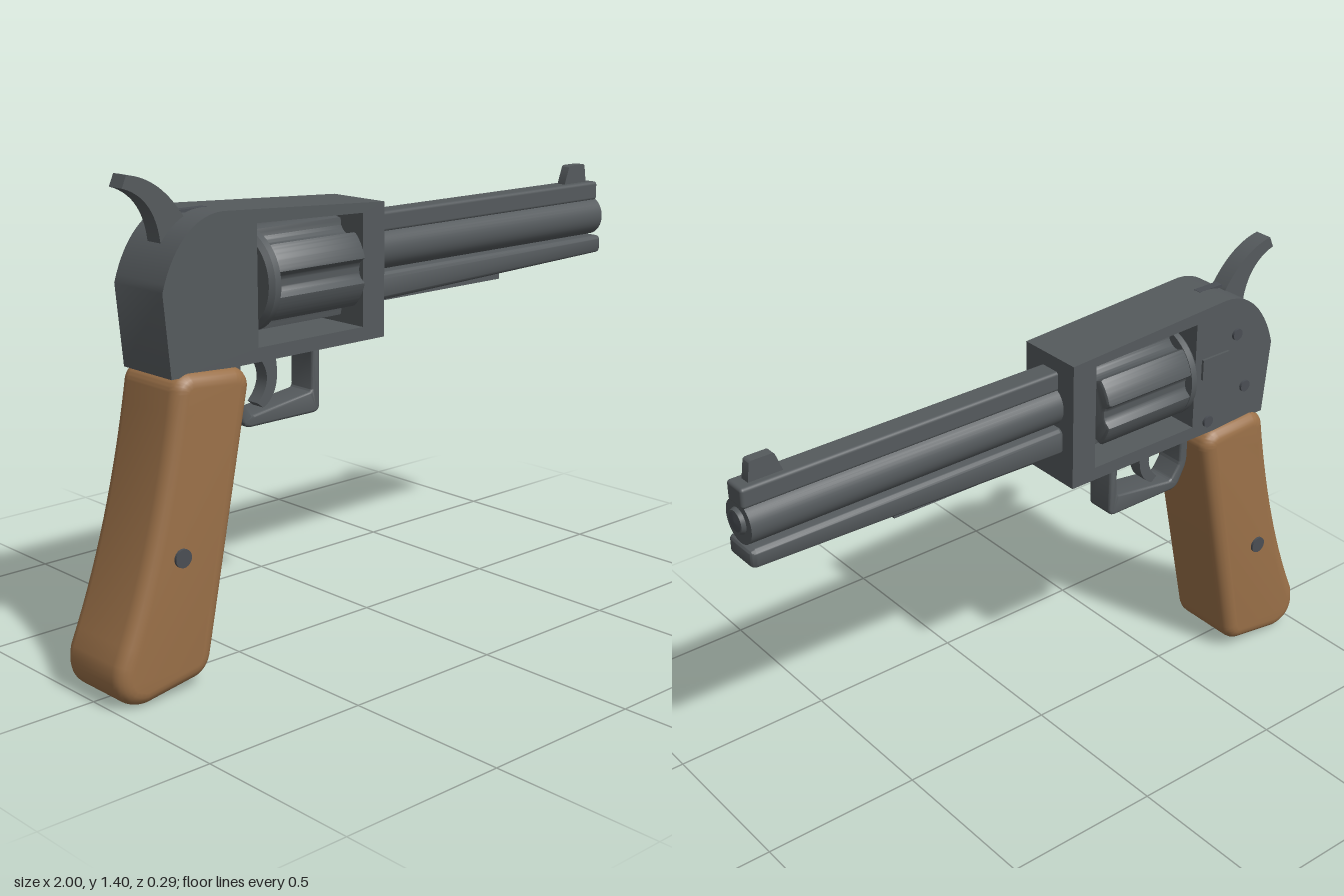
import * as THREE from 'three';
import { toCreasedNormals } from 'three/addons/utils/BufferGeometryUtils.js';
import { RoundedBoxGeometry } from 'three/addons/geometries/RoundedBoxGeometry.js';

const mat = (name, color) => Object.assign(new THREE.MeshStandardMaterial({ color }), { name });

// Polygon path with its corners rounded by radius r
function roundPath(path, pts, r) {
  const n = pts.length, v = pts.map(p => new THREE.Vector2(p[0], p[1]));
  v.forEach((p, i) => {
    const toward = q => p.clone().add(q.clone().sub(p).setLength(r));
    const a = toward(v[(i + n - 1) % n]), b = toward(v[(i + 1) % n]);
    if (i === 0) path.moveTo(a.x, a.y); else path.lineTo(a.x, a.y);
    path.quadraticCurveTo(p.x, p.y, b.x, b.y);
  });
  path.closePath();
  return path;
}

// Side profile extruded to a total width, centred on z = 0
function slab(shape, width, bevel = 0, offset = 0) {
  const g = new THREE.ExtrudeGeometry(shape, {
    depth: width - 2 * bevel, curveSegments: 14, bevelEnabled: bevel > 0,
    bevelSize: bevel, bevelThickness: bevel, bevelOffset: offset, bevelSegments: 5
  });
  g.translate(0, 0, -(width - 2 * bevel) / 2);
  return toCreasedNormals(g, 0.6);
}

export function createModel() {
  const model = new THREE.Group();
  const steel = mat('gunmetal', 0x555a5d);
  const wood = mat('walnut', 0x9a7048);
  const dark = mat('dark steel', 0x4a4e54);
  const add = (name, geo, material, x = 0, y = 0, z = 0) => {
    const m = new THREE.Mesh(geo, material);
    m.name = name;
    m.position.set(x, y, z);
    model.add(m);
    return m;
  };
  const rod = (r1, r2, len) => new THREE.CylinderGeometry(r1, r2, len, 40).rotateZ(-Math.PI / 2);

  // Frame with the cylinder window
  const frame = new THREE.Shape();
  frame.moveTo(-0.79, 0.87);
  frame.lineTo(-0.03, 0.87);
  frame.lineTo(-0.03, 1.26);
  frame.lineTo(-0.61, 1.292);
  frame.bezierCurveTo(-0.71, 1.292, -0.78, 1.21, -0.812, 1.1);
  frame.closePath();
  const win = new THREE.Path();
  win.moveTo(-0.497, 0.91);
  win.lineTo(-0.497, 1.248);
  win.lineTo(-0.113, 1.236);
  win.lineTo(-0.113, 0.91);
  win.closePath();
  frame.holes.push(win);
  add('frame', slab(frame, 0.21), steel);
  add('hammerSlot', new THREE.BoxGeometry(0.09, 0.008, 0.026), dark, -0.635, 1.288, 0);

  // Fluted cylinder
  const R = 0.145, flutes = [];
  for (let i = 0; i < 180; i++) {
    const a = i / 180 * Math.PI * 2;
    const d = Math.abs(((a + Math.PI / 6) % (Math.PI / 3)) - Math.PI / 6) / 0.21;
    const r = d < 1 ? R - 0.008 - 0.02 * Math.sqrt(1 - d * d) : R;
    flutes.push(new THREE.Vector2(Math.cos(a) * r, Math.sin(a) * r));
  }
  const drum = new THREE.ExtrudeGeometry(new THREE.Shape(flutes), {
    depth: 0.3, bevelEnabled: true, bevelSize: 0.01, bevelThickness: 0.01, bevelOffset: -0.01, bevelSegments: 2
  });
  drum.rotateY(Math.PI / 2);
  add('cylinder', toCreasedNormals(drum, 0.5), steel, -0.443, 1.08, 0);
  const rim = new THREE.LatheGeometry([[0, 0], [0.132, 0], [0.145, 0.013], [0.145, 0.033], [0, 0.033]]
    .map(p => new THREE.Vector2(p[0], p[1])), 48).rotateZ(-Math.PI / 2);
  add('cylinderRim', toCreasedNormals(rim, 0.5), steel, -0.481, 1.08, 0);
  add('cylinderPin', rod(0.03, 0.03, 0.4), steel, -0.305, 1.08, 0);

  // Barrel, muzzle crown, top rib and tapering underlug
  add('barrel', rod(0.063, 0.063, 1.015), steel, 0.477, 1.107, 0);
  add('muzzleCrown', rod(0.033, 0.038, 0.012), steel, 0.99, 1.11, 0);
  add('muzzleBore', rod(0.004, 0.028, 0.003), dark, 0.9975, 1.11, 0);
  add('topRib', new RoundedBoxGeometry(1.03, 0.06, 0.074, 3, 0.01), steel, 0.475, 1.187, 0);
  const lug = new RoundedBoxGeometry(1.03, 0.08, 0.12, 4, 0.018);
  const lp = lug.attributes.position;
  for (let i = 0; i < lp.count; i++) {
    const t = (lp.getX(i) + 0.515) / 1.03, y = lp.getY(i);
    lp.setY(i, 0.04 - (0.04 - y) * (1.06 - 0.36 * t));
  }
  lug.computeVertexNormals();
  add('underlug', toCreasedNormals(lug, 0.7), steel, 0.475, 1.005, 0);
  add('ejectorStrip', new THREE.BoxGeometry(0.57, 0.025, 0.06), steel, 0.25, 0.9675, 0);

  // Front sight
  const sight = roundPath(new THREE.Shape(),
    [[0.85, 1.21], [0.957, 1.21], [0.947, 1.275], [0.874, 1.275]], 0.008);
  add('frontSight', slab(sight, 0.03), steel);

  // Hammer
  const hammer = new THREE.Shape();
  hammer.moveTo(-0.872, 1.367);
  hammer.quadraticCurveTo(-0.765, 1.335, -0.755, 1.2);
  hammer.lineTo(-0.66, 1.2);
  hammer.lineTo(-0.675, 1.27);
  hammer.quadraticCurveTo(-0.75, 1.385, -0.857, 1.4);
  hammer.closePath();
  add('hammer', slab(hammer, 0.056), steel);

  // Trigger guard and trigger
  const guard = roundPath(new THREE.Shape(),
    [[-0.54, 0.875], [-0.54, 0.75], [-0.5, 0.672], [-0.225, 0.672], [-0.225, 0.875]], 0.025);
  guard.holes.push(roundPath(new THREE.Path(),
    [[-0.51, 0.863], [-0.255, 0.863], [-0.255, 0.735], [-0.475, 0.705], [-0.51, 0.755]], 0.012));
  add('triggerGuard', slab(guard, 0.094, 0.008, -0.008), steel);
  const trigger = new THREE.Shape();
  trigger.moveTo(-0.45, 0.88);
  trigger.quadraticCurveTo(-0.36, 0.8, -0.435, 0.728);
  trigger.lineTo(-0.415, 0.712);
  trigger.quadraticCurveTo(-0.34, 0.75, -0.375, 0.88);
  trigger.closePath();
  add('trigger', slab(trigger, 0.045), steel);

  // Grip with a soft rounded edge
  const grip = new THREE.Shape();
  grip.moveTo(-0.735, 0.842);
  grip.quadraticCurveTo(-0.75, 0.84, -0.752, 0.825);
  grip.quadraticCurveTo(-0.82, 0.43, -0.957, 0.12);
  grip.quadraticCurveTo(-0.975, 0.045, -0.91, 0.042);
  grip.lineTo(-0.755, 0.067);
  grip.quadraticCurveTo(-0.73, 0.07, -0.725, 0.1);
  grip.lineTo(-0.58, 0.815);
  grip.quadraticCurveTo(-0.577, 0.83, -0.595, 0.834);
  grip.closePath();
  add('grip', slab(grip, 0.26, 0.04), wood);

  // Screws: two on the grip, three on the right-hand side of the frame
  const screw = (name, x, y, z, r) =>
    add(name, new THREE.CylinderGeometry(r, r, 0.016, 24).rotateX(Math.PI / 2), dark, x, y, z);
  for (const s of [1, -1]) screw('gripScrew', -0.79, 0.39, s * 0.13, 0.026);
  for (const [x, y] of [[-0.66, 1.17], [-0.705, 0.985], [-0.557, 0.912]])
    screw('frameScrew', x, y, -0.105, 0.018);
  add('sidePlate', new THREE.BoxGeometry(0.105, 0.065, 0.016), steel, -0.575, 1.095, -0.105);

  return model;
}
